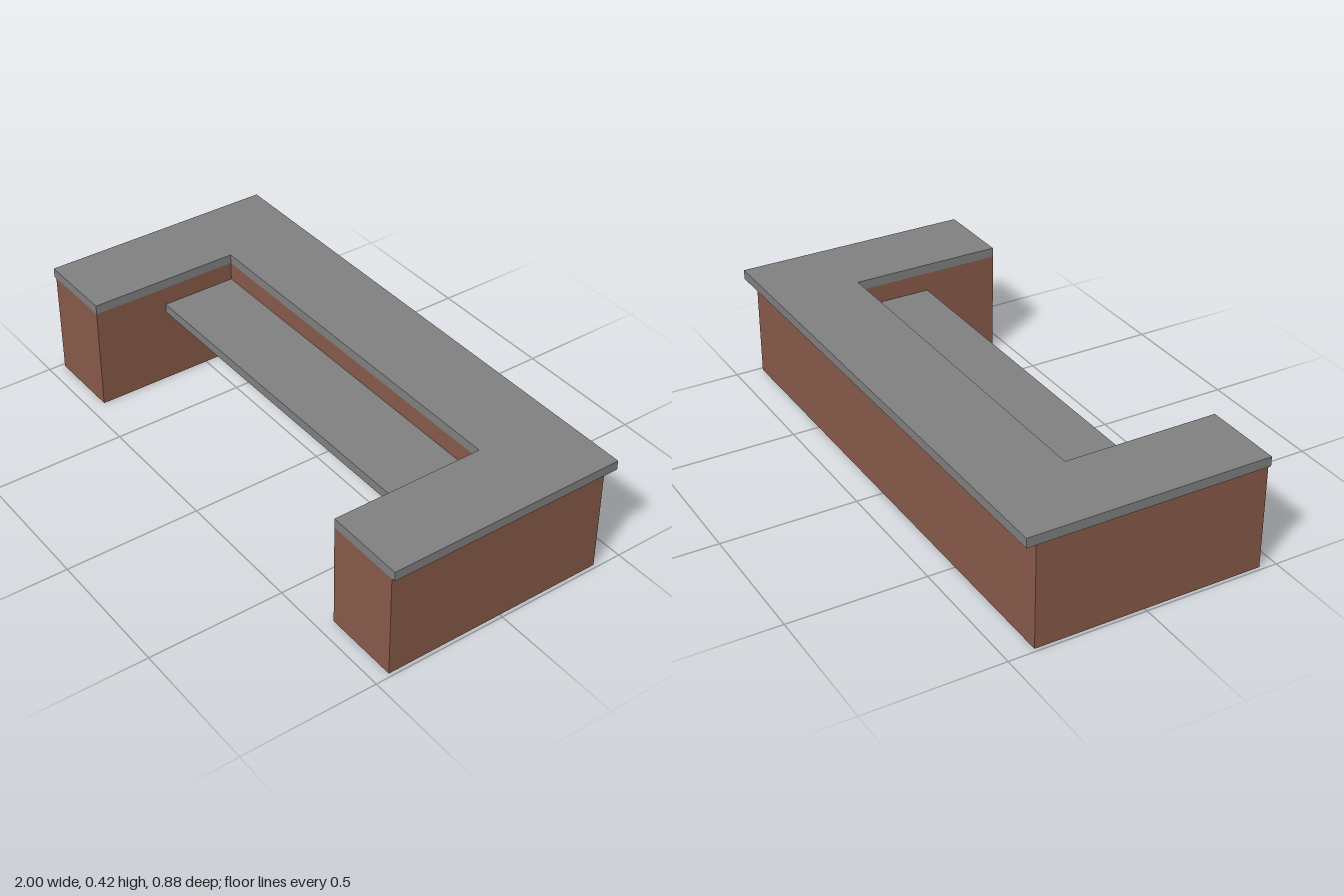
import * as THREE from 'three';

const INNER_X = 0.703, INNER_Z = -0.124, FRONT_Z = 0.442;

// U-shaped slab, open toward +z, between heights y0 and y1
function uSlab(name, halfWidth, backZ, y0, y1, material) {
  // shape y maps to -z once the extrusion is laid flat
  const shape = new THREE.Shape([
    [-halfWidth, FRONT_Z], [-INNER_X, FRONT_Z], [-INNER_X, INNER_Z], [INNER_X, INNER_Z],
    [INNER_X, FRONT_Z], [halfWidth, FRONT_Z], [halfWidth, backZ], [-halfWidth, backZ],
  ].map(([x, z]) => new THREE.Vector2(x, -z)));
  const geometry = new THREE.ExtrudeGeometry(shape, { depth: y1 - y0, bevelEnabled: false });
  geometry.rotateX(-Math.PI / 2).translate(0, y0, 0);
  const mesh = new THREE.Mesh(geometry, material);
  mesh.name = name;
  return mesh;
}

export function createModel() {
  const wood = new THREE.MeshStandardMaterial({ color: 0x885a49 });
  wood.name = 'brown wood';
  const stone = new THREE.MeshStandardMaterial({ color: 0x808080 });
  stone.name = 'grey stone';

  const group = new THREE.Group();
  group.name = 'counter';

  // counter body and the overhanging top
  group.add(uSlab('counterBody', 0.987, -0.4, 0, 0.389, wood));
  group.add(uSlab('counterTop', 1, -0.442, 0.389, 0.424, stone));

  // lower desk shelf set between the two wings
  const shelfFront = 0.16;
  const shelf = new THREE.Mesh(
    new THREE.BoxGeometry(INNER_X * 2, 0.034, shelfFront - INNER_Z), stone);
  shelf.position.set(0, 0.303, (shelfFront + INNER_Z) / 2);
  shelf.name = 'deskShelf';
  group.add(shelf);

  return group;
}
